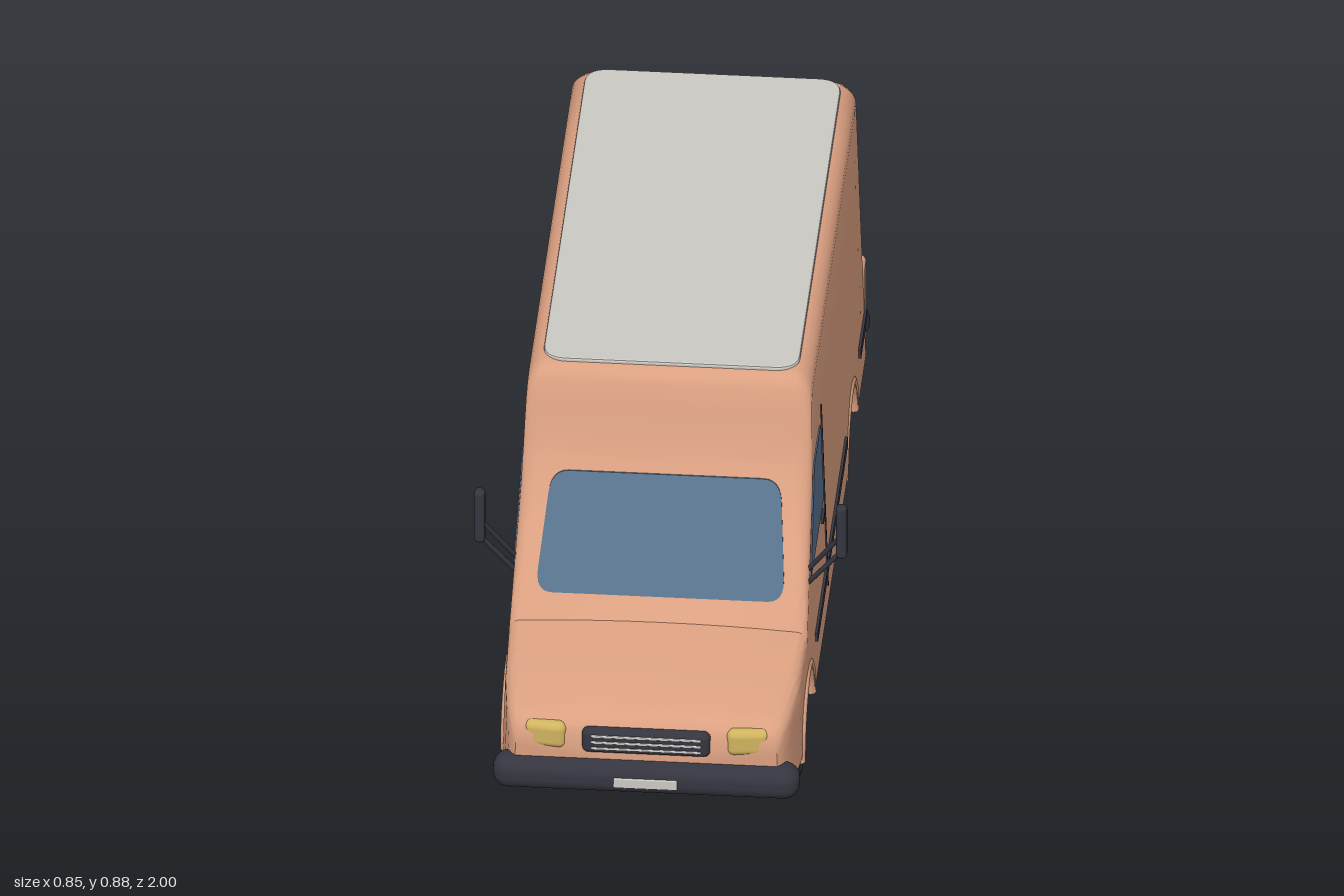
import * as THREE from 'three';
import { toCreasedNormals } from 'three/addons/utils/BufferGeometryUtils.js';
import { RoundedBoxGeometry } from 'three/addons/geometries/RoundedBoxGeometry.js';

const mat = (name, color) => Object.assign(new THREE.MeshStandardMaterial({ color }), { name });
const paint = mat('peach paint', 0xdba081);
const dark = mat('dark rubber', 0x353540);
const glass = mat('blue glass', 0x58728c);
const silver = mat('pale grey', 0xcbc9c3);
const amber = mat('lamp yellow', 0xcfb35f);

// half width of the body at height y (sides lean inward)
const wallX = (y) => 0.345 - 0.033 * (y - 0.15);
const AXLES = [0.635, -0.545];
const AXLE_Y = 0.126;
const ARCH_R = 0.14;

// body stations: z, top height, side inset, top corner radius, top crown
const STATIONS = [
  [-0.93, 0.832, 0.04, 0.045, 0], [-0.925, 0.85, 0.022, 0.048, 0], [-0.912, 0.867, 0.008, 0.05, 0],
  [-0.89, 0.874, 0, 0.05, 0], [0.29, 0.874, 0, 0.05, 0], [0.312, 0.87, 0, 0.05, 0],
  [0.327, 0.861, 0, 0.05, 0], [0.339, 0.842, 0, 0.05, 0], [0.355, 0.795, 0, 0.05, 0],
  [0.372, 0.74, 0, 0.05, 0], [0.4, 0.665, 0, 0.05, 0], [0.61, 0.42, 0, 0.03, 0],
  [0.636, 0.395, 0, 0.026, 0.01], [0.8, 0.37, 0.006, 0.028, 0.012], [0.9, 0.349, 0.018, 0.03, 0.01],
  [0.94, 0.336, 0.027, 0.03, 0.006], [0.957, 0.32, 0.035, 0.03, 0.003], [0.967, 0.296, 0.045, 0.03, 0],
];

function stationAt(z) {
  let i = 0;
  while (i < STATIONS.length - 2 && STATIONS[i + 1][0] < z) i++;
  const a = STATIONS[i], b = STATIONS[i + 1], t = (z - a[0]) / (b[0] - a[0]);
  return a.map((v, k) => v + (b[k] - v) * t);
}

// cross-section, counter-clockwise seen from the front
function section([z, top, inset, r, crown]) {
  let floor = 0.15;
  for (const a of AXLES) {
    const q = ARCH_R ** 2 - (z - a) ** 2;
    if (q > 0) floor = Math.max(floor, AXLE_Y + Math.sqrt(q));
  }
  const cy = top - crown - r, w = wallX(cy) - inset - r;
  const half = [[0, floor], [wallX(floor) - inset, floor]];
  for (let i = 1; i < 4; i++) {
    const y = floor + (cy - floor) * i / 4;
    half.push([wallX(y) - inset, y]);
  }
  for (let i = 0; i <= 6; i++) {
    const a = i * Math.PI / 12;
    half.push([w + r * Math.cos(a), cy + r * Math.sin(a)]);
  }
  for (let i = 3; i >= 0; i--) half.push([w * i / 4, top - crown * (i / 4) ** 2]);
  const mirrored = half.slice(1, -1).reverse().map(([x, y]) => [-x, y]);
  return [...half, ...mirrored].map(([x, y]) => [x, y, z]);
}

function bodyGeometry() {
  const zs = STATIONS.map((s) => s[0]);
  for (const a of AXLES) for (let i = 0; i <= 20; i++) zs.push(a - ARCH_R * Math.cos(i * Math.PI / 20));
  const rings = [...new Set(zs)].sort((a, b) => a - b).map((z) => section(stationAt(z)));
  const n = rings[0].length, last = rings.length - 1, pos = rings.flat(2), idx = [];
  for (let i = 0; i < last; i++) for (let j = 0; j < n; j++) {
    const k = (j + 1) % n, a = i * n + j, b = i * n + k;
    idx.push(a, b, b + n, a, b + n, a + n);
  }
  // end caps
  const c = pos.length / 3;
  pos.push(0, 0.4, rings[0][0][2], 0, 0.22, rings[last][0][2]);
  for (let j = 0; j < n; j++) {
    const k = (j + 1) % n;
    idx.push(c, k, j, c + 1, last * n + j, last * n + k);
  }
  const g = new THREE.BufferGeometry();
  g.setAttribute('position', new THREE.Float32BufferAttribute(pos, 3));
  g.setIndex(idx);
  return toCreasedNormals(g, 0.6);
}

// polygon with rounded corners
function rounded(pts, r) {
  const s = new THREE.Shape(), v = pts.map((p) => new THREE.Vector2(...p));
  v.forEach((p, i) => {
    const toward = (q) => p.clone().add(q.clone().sub(p).setLength(r));
    const a = toward(v[(i + v.length - 1) % v.length]), b = toward(v[(i + 1) % v.length]);
    if (i) s.lineTo(a.x, a.y); else s.moveTo(a.x, a.y);
    s.quadraticCurveTo(p.x, p.y, b.x, b.y);
  });
  s.closePath();
  return s;
}
const rect = (x0, x1, y0, y1) => [[x0, y0], [x1, y0], [x1, y1], [x0, y1]];
const slab = (pts, r, depth) => new THREE.ExtrudeGeometry(rounded(pts, r), { depth, bevelEnabled: false, curveSegments: 6 });

// shift each vertex by a rule
function shift(g, rule) {
  const p = g.attributes.position, v = new THREE.Vector3();
  for (let i = 0; i < p.count; i++) {
    rule(v.fromBufferAttribute(p, i));
    p.setXYZ(i, v.x, v.y, v.z);
  }
  g.computeVertexNormals();
  return g;
}

// thin plate hugging a body side; points are (z, y)
function sidePlate(pts, r, side, out) {
  const g = slab(pts.map(([z, y]) => [-side * z, y]), r, 0.009).rotateY(side * Math.PI / 2);
  return shift(g, (v) => { v.x += side * (wallX(v.y) + out - 0.009); });
}

export function createModel() {
  const van = new THREE.Group();
  van.name = 'van';
  const add = (name, geo, material, x = 0, y = 0, z = 0, parent = van) => {
    const m = new THREE.Mesh(geo, material);
    m.name = name;
    m.position.set(x, y, z);
    parent.add(m);
    return m;
  };
  const box = (w, h, d, r) => new RoundedBoxGeometry(w, h, d, 4, r);

  add('body', bodyGeometry(), paint);
  const roof = new THREE.ExtrudeGeometry(rounded(rect(-0.285, 0.285, -0.3, 0.9), 0.05),
    { depth: 0.006, bevelThickness: 0.004, bevelSize: 0.005, bevelSegments: 2 });
  add('roofPanel', roof.rotateX(-Math.PI / 2), silver, 0, 0.87, 0);

  // windscreen leaning with the slope
  const screen = slab([[-0.283, 0.438], [0.283, 0.438], [0.26, 0.65], [-0.26, 0.65]], 0.04, 0.009);
  add('windscreen', shift(screen, (v) => { v.z += 0.604 - 0.857 * (v.y - 0.42); }), glass);

  // nose
  add('grille', box(0.292, 0.064, 0.034, 0.016), dark, 0, 0.285, 0.961);
  for (const y of [0.27, 0.286, 0.302]) add('grilleBar', box(0.25, 0.006, 0.006, 0.002), silver, 0, y, 0.978);
  add('frontBumper', box(0.695, 0.082, 0.08, 0.036), dark, 0, 0.195, 0.958);
  add('frontPlate', box(0.145, 0.027, 0.008, 0.004), silver, 0, 0.192, 0.996);

  // tail
  add('rearLowerPanel', box(0.684, 0.242, 0.06, 0.014), paint, 0, 0.271, -0.913);
  add('rearBumper', box(0.695, 0.072, 0.07, 0.032), dark, 0, 0.194, -0.965);
  add('rearPlate', box(0.12, 0.025, 0.008, 0.004), silver, 0, 0.194, -0.996);
  add('rearDoorSeam', box(0.007, 0.35, 0.008, 0.002), dark, 0, 0.565, -0.93);
  add('rearDoorSeamLower', box(0.007, 0.2, 0.008, 0.002), dark, 0, 0.29, -0.942);

  for (const s of [1, -1]) {
    const sideName = s > 0 ? 'left' : 'right';
    add(sideName + 'Headlight', box(0.098, 0.066, 0.05, 0.018), amber, s * 0.229, 0.291, 0.945).rotation.y = s * 0.12;
    add(sideName + 'RearWindow', slab(rect(-0.1, 0.1, 0.52, 0.71), 0.022, 0.008).rotateY(Math.PI), glass, s * 0.143, 0, -0.927);
    add(sideName + 'RearHandle', box(0.014, 0.06, 0.016, 0.005), dark, s * 0.028, 0.45, -0.934);
    add(sideName + 'TailLamp', box(0.036, 0.12, 0.02, 0.009), paint, s * 0.285, 0.275, -0.943);

    // side trim
    const trim = (name, z0, z1, y0, y1, out = 0.006) =>
      add(sideName + name, sidePlate(rect(z0, z1, y0, y1), 0.003, s, out), dark);
    add(sideName + 'DoorWindow', sidePlate([[0.525, 0.457], [0.36, 0.657], [0.18, 0.657], [0.18, 0.457]], 0.02, s, 0.003), glass);
    trim('DoorSeam', 0.146, 0.153, 0.2, 0.685, 0.003);
    trim('DoorHandle', 0.185, 0.235, 0.418, 0.432);
    trim('RearStripe', -0.9, -0.725, 0.247, 0.27);
    if (s > 0) trim('Stripe', -0.365, 0.46, 0.247, 0.27);
    else {
      // sliding door with its rail
      add('slidingDoor', sidePlate(rect(-0.285, 0.138, 0.185, 0.7), 0.02, s, 0.006), paint);
      trim('Stripe', 0.16, 0.46, 0.247, 0.27);
      trim('SlidingDoorStripe', -0.265, 0.135, 0.247, 0.27, 0.011);
      trim('ShortStripe', -0.365, -0.3, 0.247, 0.27);
      trim('SlidingDoorHandle', 0.065, 0.115, 0.418, 0.432, 0.011);
      trim('DoorRail', -0.635, -0.3, 0.425, 0.436);
    }

    // mirror on two struts
    add(sideName + 'Mirror', box(0.025, 0.138, 0.028, 0.01), dark, s * 0.41, 0.618, 0.568);
    for (const [y0, y1, z0] of [[0.492, 0.6, 0.52], [0.468, 0.558, 0.54]]) {
      const path = new THREE.LineCurve3(new THREE.Vector3(s * 0.33, y0 - 0.012, z0), new THREE.Vector3(s * 0.405, y1, 0.568));
      add(sideName + 'MirrorStrut', new THREE.TubeGeometry(path, 1, 0.006, 8), dark);
    }
  }

  // wheels, arches and dark inner wells
  const tyreProfile = [[0, -0.041], [0.1, -0.041], [0.117, -0.035], [0.125, -0.02], [0.126, 0], [0.125, 0.02],
    [0.117, 0.035], [0.1, 0.041], [0.08, 0.041], [0.074, 0.03], [0, 0.03]].map((p) => new THREE.Vector2(...p));
  const tyre = toCreasedNormals(new THREE.LatheGeometry(tyreProfile, 40).rotateZ(-Math.PI / 2), 0.7);
  const disc = (r0, r1, h, n) => new THREE.CylinderGeometry(r0, r1, h, n).rotateZ(-Math.PI / 2);
  AXLES.forEach((z, i) => {
    const end = i ? 'rear' : 'front';
    add(end + 'WheelWell', new THREE.BoxGeometry(0.486, 0.15, 0.296), dark, 0, 0.187, z);
    for (const s of [1, -1]) {
      const wheel = new THREE.Group();
      wheel.name = end + (s > 0 ? 'Left' : 'Right') + 'Wheel';
      wheel.position.set(s * 0.287, AXLE_Y, z);
      if (s < 0) wheel.rotation.y = Math.PI;
      van.add(wheel);
      add('tyre', tyre, dark, 0, 0, 0, wheel);
      add('rim', disc(0.064, 0.074, 0.02, 32), silver, 0.028, 0, 0, wheel);
      add('hub', disc(0.026, 0.032, 0.02, 20), paint, 0.037, 0, 0, wheel);
      for (let k = 0; k < 5; k++) {
        const a = k * Math.PI * 0.4;
        add('wheelNut', disc(0.006, 0.006, 0.008, 8), dark, 0.037, 0.048 * Math.cos(a), 0.048 * Math.sin(a), wheel);
      }
      add(end + 'ArchFlare', new THREE.TorusGeometry(0.146, 0.012, 8, 28, Math.PI).rotateY(Math.PI / 2), paint, s * 0.334, AXLE_Y + 0.006, z);
    }
  });
  return van;
}
